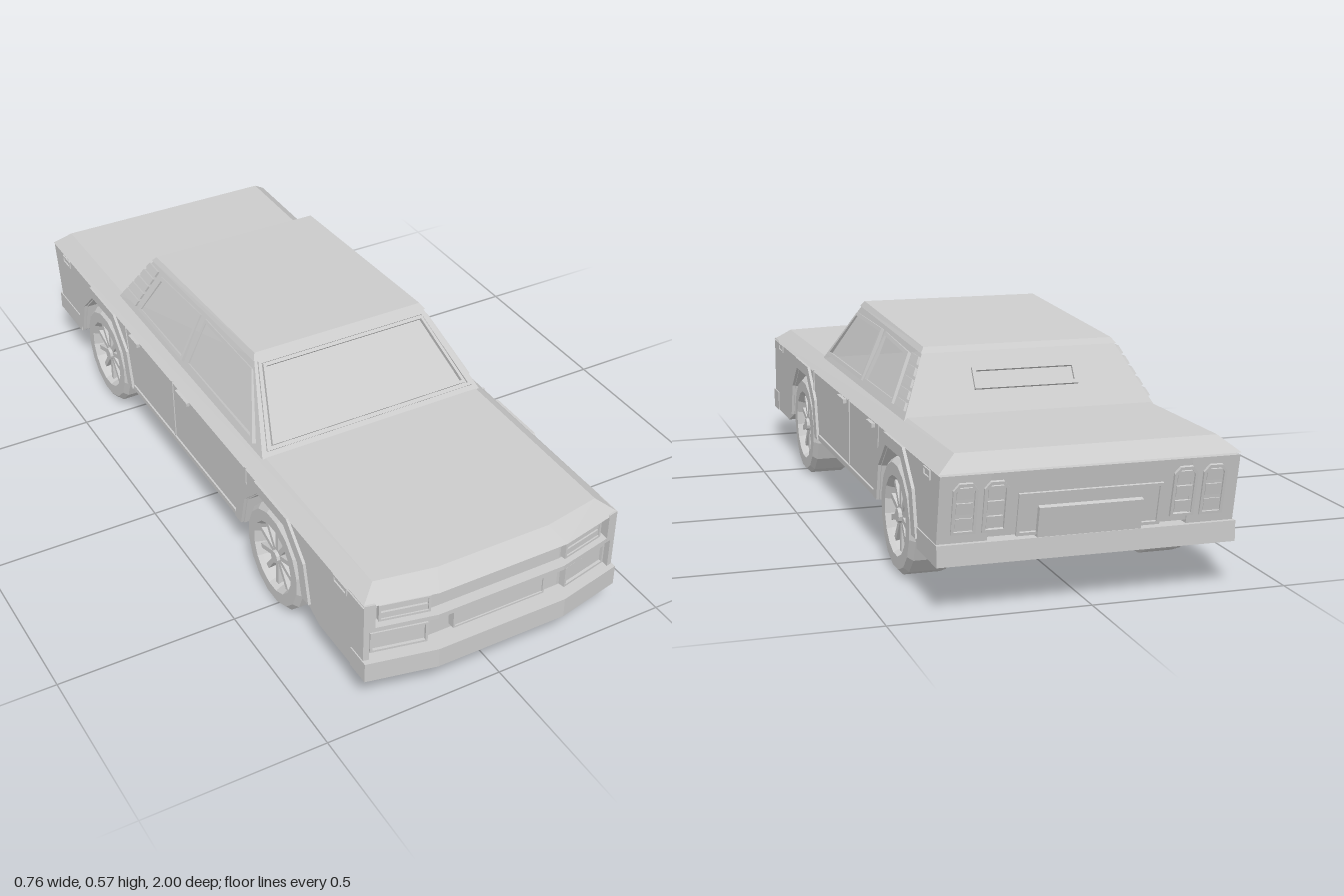
import * as THREE from 'three';

const mat = new THREE.MeshStandardMaterial({ color: 0xcccccc, flatShading: true });
const V = (x, y, z) => new THREE.Vector3(x, y, z);

export function createModel() {
  const car = new THREE.Group();
  car.name = 'sedan';
  const add = (geo, name, parent = car) => {
    const m = new THREE.Mesh(geo, mat);
    m.name = name;
    parent.add(m);
    return m;
  };

  // Sweeps the outer parts of the nose back, as seen in plan
  const sweep = (x) => Math.max(0, Math.abs(x) - 0.19) * 0.22;
  const bend = (geo) => {
    const p = geo.attributes.position;
    for (let i = 0; i < p.count; i++) if (p.getZ(i) > 0.9) p.setZ(i, p.getZ(i) - sweep(p.getX(i)));
    geo.computeVertexNormals();
    return geo;
  };

  // Axis-aligned box given by its limits
  const box = (x0, x1, y0, y1, z0, z1, name) =>
    add(bend(new THREE.BoxGeometry(x1 - x0, y1 - y0, z1 - z0, 4, 1, 1)
      .translate((x0 + x1) / 2, (y0 + y1) / 2, (z0 + z1) / 2)), name);

  // Side profile of [z, y] points extruded from x0 to x1
  const prism = (pts, x0, x1, name) => {
    const g = new THREE.ExtrudeGeometry(new THREE.Shape(pts.map(([z, y]) => new THREE.Vector2(z, y))),
      { depth: x1 - x0, bevelEnabled: false });
    return add(bend(g.rotateY(-Math.PI / 2).translate(x1, 0, 0)), name);
  };

  // Tapered block between two rectangles [halfWidth, zFront, zBack, yFront, yBack]
  const frustum = (lo, hi, name) => {
    const g = new THREE.BoxGeometry(2, 2, 2, 4, 1, 1), p = g.attributes.position;
    for (let i = 0; i < p.count; i++) {
      const [w, zf, zb, yf, yb] = p.getY(i) > 0 ? hi : lo, front = p.getZ(i) > 0;
      p.setXYZ(i, p.getX(i) * w, front ? yf : yb, front ? zf : zb);
    }
    return add(bend(g), name);
  };

  // Flat plate standing proud of a surface; a rim width turns it into a frame
  const plate = (pts, depth, name, rim = 0) => {
    const c = pts.reduce((a, p) => a.add(p), V(0, 0, 0)).divideScalar(pts.length);
    let n = pts[1].clone().sub(pts[0]).cross(pts[2].clone().sub(pts[0])).normalize();
    if (n.dot(c.clone().sub(V(0, 0.25, 0))) < 0) { n.negate(); pts = [...pts].reverse(); }
    const u = pts[1].clone().sub(pts[0]).normalize(), v = n.clone().cross(u);
    const q = pts.map((p) => p.clone().sub(c)).map((p) => new THREE.Vector2(p.dot(u), p.dot(v)));
    const shape = new THREE.Shape(q);
    if (rim) {
      const k = q.length;
      shape.holes.push(new THREE.Path(q.map((p, i) => {
        const a = p.clone().sub(q[(i + k - 1) % k]).normalize(), b = q[(i + 1) % k].clone().sub(p).normalize();
        const na = new THREE.Vector2(-a.y, a.x), nb = new THREE.Vector2(-b.y, b.x);
        return p.clone().add(na.clone().add(nb).multiplyScalar(rim / (1 + na.dot(nb))));
      }).reverse()));
    }
    const sink = 0.012;
    const g = new THREE.ExtrudeGeometry(shape, { depth: depth + sink, bevelEnabled: false }).translate(0, 0, -sink);
    return add(g.applyMatrix4(new THREE.Matrix4().makeBasis(u, v, n).setPosition(c)), name);
  };
  const rect = (a0, a1, y0, y1) => [[a0, y0], [a1, y0], [a1, y1], [a0, y1]];

  // Main body: core with raised floor, side panels with cut wheel arches
  const axleZ = [0.48, -0.61];
  const core = [[0.955, 0.18], [0.955, 0.34], [-1, 0.34], [-0.963, 0.18]];
  prism(core, -0.19, 0.19, 'bodyCore');
  const arch = (c, w, y) => [[c - w, 0.145], [c - w * 0.86, 0.145 + y * 0.58], [c - w * 0.43, 0.145 + y],
    [c + w * 0.43, 0.145 + y], [c + w * 0.86, 0.145 + y * 0.58], [c + w, 0.145]];
  const side = [[0.955, 0.11], [0.955, 0.34], [-1, 0.34], [-0.955, 0.12], [-0.81, 0.12],
    ...arch(axleZ[1], 0.165, 0.165), ...arch(axleZ[0], 0.165, 0.165), [0.73, 0.11]];
  for (const s of [-1, 1]) {
    const span = (a, b) => (s > 0 ? [a, b] : [-b, -a]);
    prism(core, ...span(0.19, 0.25), 'innerBody');
    prism(side, ...span(0.25, 0.372), 'sidePanel');
    for (const c of axleZ)
      prism([...arch(c, 0.205, 0.197), ...arch(c, 0.17, 0.167).reverse()], ...span(0.36, 0.38), 'archFlare');
    prism(rect(-0.4, 0.27, 0.145, 0.16), ...span(0.36, 0.377), 'sill');
  }

  // Hood and trunk deck with sloping shoulders, cabin and roof
  frustum([0.375, 0.985, -1, 0.338, 0.345], [0.327, 0.935, -0.962, 0.373, 0.384], 'deck');
  frustum([0.325, 0.4, -0.5, 0.36, 0.36], [0.325, 0.33, -0.5, 0.385, 0.385], 'cowl');
  frustum([0.337, 0.36, -0.562, 0.375, 0.375], [0.26, 0.17, -0.46, 0.56, 0.53], 'cabin');
  frustum([0.266, 0.18, -0.468, 0.555, 0.526], [0.256, 0.165, -0.455, 0.57, 0.54], 'roof');

  // Windshield and rear window vent
  const wind = (x, y) => V(x, y, 0.36 - (y - 0.375) * 1.027);
  plate([wind(-0.318, 0.386), wind(0.318, 0.386), wind(0.255, 0.55), wind(-0.255, 0.55)], 0.006, 'windshieldSurround', 0.008);
  plate([wind(-0.3, 0.394), wind(0.3, 0.394), wind(0.246, 0.542), wind(-0.246, 0.542)], 0.012, 'windshieldFrame', 0.008);
  const back = (x, y) => V(x, y, -0.562 + (y - 0.375) * 0.658);
  plate(rect(-0.14, 0.14, 0.435, 0.485).map((p) => back(...p)), 0.008, 'rearVentFrame', 0.01);

  // Side windows, louvers, door seams, handles and markers
  for (const s of [-1, 1]) {
    const glass = ([z, y]) => V(s * (0.337 - 0.077 * (y - 0.375) / (0.185 - 0.03 * (0.17 - z) / 0.63)), y, z);
    const panel = ([z, y]) => V(s * 0.372, y, z);
    const win = (pts, d, name, rim) => plate(pts.map(glass), d, name, rim);
    const trim = (pts, d, name, rim) => plate(pts.map(panel), d, name, rim);
    win([[0.31, 0.392], [-0.11, 0.392], [-0.1, 0.53], [0.185, 0.535]], 0.007, 'frontWindowFrame', 0.01);
    win([[-0.128, 0.392], [-0.435, 0.392], [-0.385, 0.513], [-0.128, 0.528]], 0.007, 'rearWindowFrame', 0.01);
    for (let i = 0; i < 5; i++) {
      const y = 0.394 + i * 0.026, slant = (h) => (h - 0.39) * 0.6;
      win([[-0.455 + slant(y) * 0.6, y], [-0.545 + slant(y), y], [-0.545 + slant(y + 0.018), y + 0.018],
        [-0.455 + slant(y + 0.018) * 0.6, y + 0.018]], 0.007, 'pillarLouver');
    }
    trim([[0.335, 0.27], [0.328, 0.27], [0.328, 0.345], [0.335, 0.345]], 0.003, 'frontDoorSeam');
    trim([[-0.11, 0.155], [-0.117, 0.155], [-0.124, 0.345], [-0.117, 0.345]], 0.003, 'middleDoorSeam');
    trim([[-0.43, 0.27], [-0.437, 0.27], [-0.45, 0.345], [-0.443, 0.345]], 0.003, 'rearDoorSeam');
    trim(rect(-0.085, -0.01, 0.327, 0.338), 0.01, 'frontDoorHandle');
    trim(rect(-0.405, -0.345, 0.327, 0.338), 0.01, 'rearDoorHandle');
    trim(rect(0.8, 0.865, 0.315, 0.338), 0.004, 'frontMarker', 0.005);
    trim(rect(-0.925, -0.87, 0.315, 0.338), 0.004, 'rearMarker', 0.005);
  }

  // Front bumper, nose frame, plate and lamps
  box(-0.375, 0.375, 0.11, 0.168, 0.93, 1, 'frontBumper');
  box(-0.37, 0.37, 0.255, 0.268, 0.93, 0.985, 'noseBar');
  const nose = ([x, y]) => V(x, y, 0.955 - sweep(x));
  plate(rect(-0.135, 0.135, 0.195, 0.25).map(nose), 0.018, 'frontPlate');
  plate(rect(-0.135, 0.135, 0.195, 0.25).map(nose), 0.022, 'frontPlateRim', 0.005);
  for (const s of [-1, 1]) {
    const span = (a, b) => (s > 0 ? [a, b] : [-b, -a]);
    const lamp = (x0, x1, y0, y1, d, name, rim) => plate(rect(s * x0, s * x1, y0, y1).map(nose), d, name, rim);
    box(...span(0.343, 0.372), 0.26, 0.342, 0.91, 0.985, 'grilleSide');
    box(...span(0.357, 0.372), 0.16, 0.26, 0.91, 0.985, 'noseSide');
    lamp(0.195, 0.325, 0.273, 0.323, 0.016, 'headlightFrame', 0.006);
    for (const y of [0.278, 0.302]) lamp(0.199, 0.32, y, y + 0.018, 0.012, 'headlight');
    lamp(0.2, 0.345, 0.178, 0.24, 0.018, 'foglightFrame', 0.006);
    lamp(0.206, 0.339, 0.184, 0.234, 0.01, 'foglight');
  }

  // Rear bumper, plate and tail lights
  box(-0.375, 0.375, 0.12, 0.172, -0.978, -0.81, 'rearBumper');
  const tail = ([x, y]) => V(x, y, -1 + (0.34 - y) * 0.23);
  plate(rect(-0.18, 0.18, 0.178, 0.285).map(tail), 0.006, 'rearPlateSurround', 0.008);
  plate(rect(-0.13, 0.13, 0.165, 0.25).map(tail), 0.014, 'rearPlate');
  for (const s of [-1, 1]) for (const x of [0.235, 0.31]) {
    const pod = [[-0.03, 0.195], [0.03, 0.195], [0.03, 0.305], [0.016, 0.322], [-0.016, 0.322], [-0.03, 0.305]];
    plate(pod.map(([dx, y]) => tail([s * x + dx, y])), 0.008, 'tailLightFrame', 0.007);
    for (const y of [0.206, 0.244, 0.282])
      plate(rect(s * x - 0.02, s * x + 0.02, y, y + 0.028).map(tail), 0.005, 'tailLight');
  }

  // Wheels: faceted tyre with sunken rim, ten spokes and hub
  const tyre = [[0, -0.06], [0.132, -0.06], [0.148, -0.047], [0.148, 0.047], [0.135, 0.06], [0.102, 0.06],
    [0.096, 0.048], [0.088, 0.025], [0, 0.025]].map(([r, y]) => new THREE.Vector2(r, y));
  for (const z of axleZ) {
    const axle = new THREE.CylinderGeometry(0.025, 0.025, 0.56, 8).rotateZ(Math.PI / 2);
    add(axle, 'axle').position.set(0, 0.147, z);
    for (const s of [-1, 1]) {
      const wheel = new THREE.Group();
      wheel.name = 'wheel';
      wheel.position.set(s * 0.315, 0.147, z);
      if (s < 0) wheel.rotation.y = Math.PI;
      add(new THREE.LatheGeometry(tyre, 16).rotateZ(-Math.PI / 2).rotateX(Math.PI / 16), 'tyre', wheel);
      for (let i = 0; i < 10; i++)
        add(new THREE.BoxGeometry(0.022, 0.078, 0.014).translate(0.035, 0.054, 0).rotateX(i * Math.PI / 5), 'spoke', wheel);
      add(new THREE.CylinderGeometry(0.018, 0.022, 0.034, 10).rotateZ(-Math.PI / 2).translate(0.038, 0, 0), 'hub', wheel);
      car.add(wheel);
    }
  }
  return car;
}
